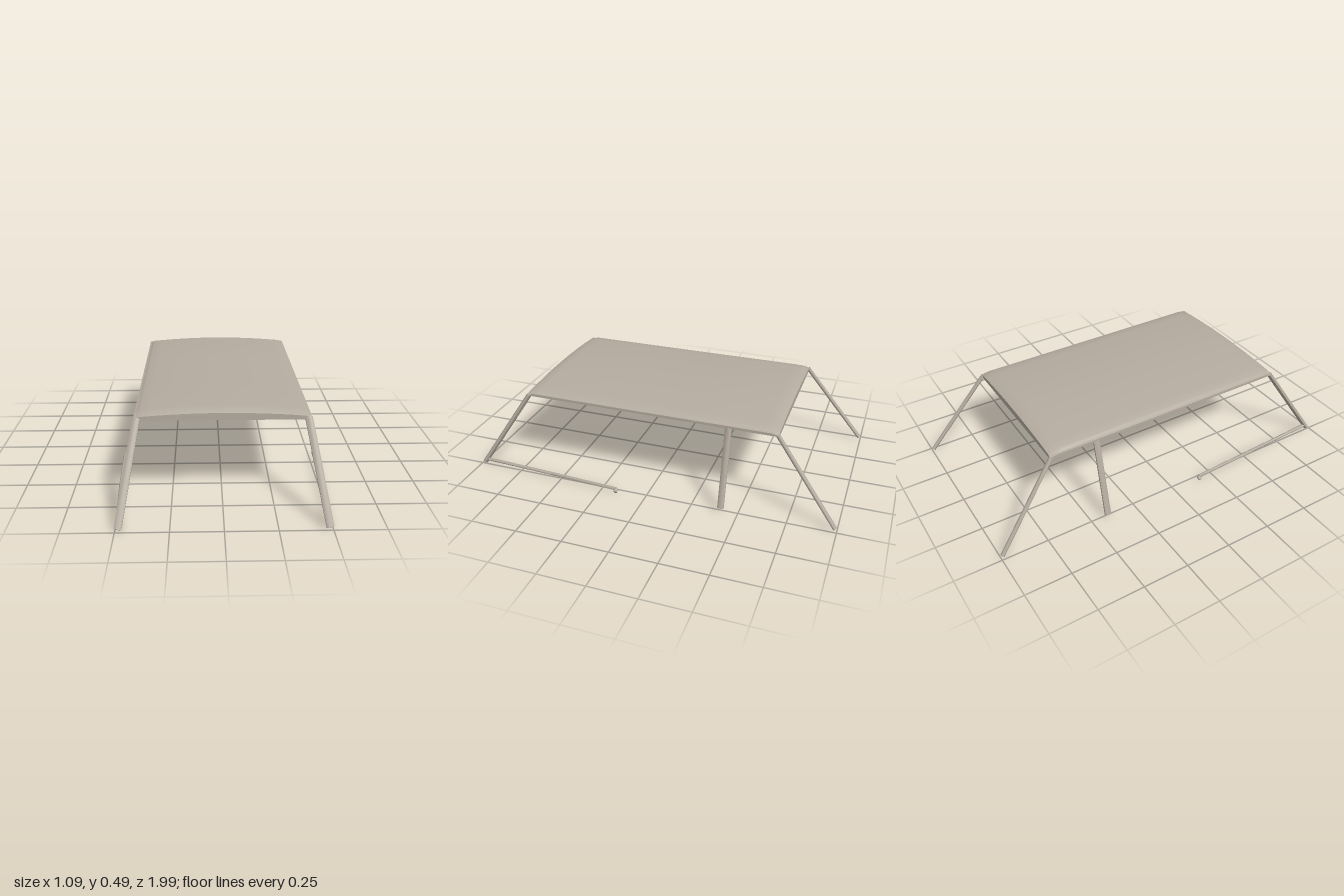
import * as THREE from 'three';
import { toCreasedNormals } from 'three/addons/utils/BufferGeometryUtils.js';

const BOTTOM = 0.436;

// One closed roof cross-section, counter-clockwise seen from the front
function roofSection(z, crown, edge) {
  const lip = Math.min(0.459, edge - 0.006);
  const side = [[0.405, BOTTOM], [0.421, 0.443], [0.421, lip - 0.002], [0.411, lip], [0.402, edge - 0.003]];
  const pts = side.map(([x, y]) => [x, y, z]);
  const n = 16;
  for (let i = 0; i <= n; i++) {
    const t = 1 - (2 * i) / n;
    pts.push([0.395 * t, crown - (crown - edge) * t * t, z]);
  }
  for (const [x, y] of [...side].reverse()) pts.push([-x, y, z]);
  return pts;
}

// Crowned panel lofted front to back, with rounded-down ends and side gutters
function roofGeometry() {
  const stations = [
    [0.710, 0.472, 0.455], [0.695, 0.479, 0.460], [0.670, 0.485, 0.465], [0.640, 0.487, 0.467],
    [0.300, 0.488, 0.468], [-0.200, 0.490, 0.469], [-0.590, 0.491, 0.470],
    [-0.625, 0.487, 0.467], [-0.650, 0.480, 0.461], [-0.667, 0.472, 0.455],
  ];
  const rings = stations.map((s) => roofSection(...s));
  const pos = [];
  const tri = (...corners) => corners.forEach((c) => pos.push(...c));
  const n = rings[0].length;
  const front = rings[0], back = rings[rings.length - 1];
  for (let i = 0; i < n; i++) {
    const j = (i + 1) % n;
    for (let r = 0; r < rings.length - 1; r++) {
      const a = rings[r], b = rings[r + 1];
      tri(a[i], b[i], b[j]);
      tri(a[i], b[j], a[j]);
    }
    if (j !== 0) {
      tri([0, BOTTOM, front[0][2]], front[i], front[j]);
      tri([0, BOTTOM, back[0][2]], back[j], back[i]);
    }
  }
  const g = new THREE.BufferGeometry();
  g.setAttribute('position', new THREE.Float32BufferAttribute(pos, 3));
  return toCreasedNormals(g, 0.5);
}

// Eight-sided bar between two points: width across x, depth across the other way
function bar(name, a, b, width, depth, material) {
  const from = new THREE.Vector3(...a), to = new THREE.Vector3(...b);
  const dir = to.clone().sub(from);
  const length = dir.length();
  dir.normalize();
  const ref = Math.abs(dir.x) > 0.9 ? new THREE.Vector3(0, 0, 1) : new THREE.Vector3(1, 0, 0);
  const across = ref.addScaledVector(dir, -ref.dot(dir)).normalize();
  const deep = new THREE.Vector3().crossVectors(across, dir);
  const g = new THREE.CylinderGeometry(0.54, 0.54, 1, 8);
  g.rotateY(Math.PI / 8);
  g.scale(width, length, depth);
  g.applyMatrix4(new THREE.Matrix4().makeBasis(across, dir, deep));
  const mid = from.add(to).multiplyScalar(0.5);
  g.translate(mid.x, mid.y, mid.z);
  const mesh = new THREE.Mesh(toCreasedNormals(g, 0.9), material);
  mesh.name = name;
  return mesh;
}

export function createModel() {
  const group = new THREE.Group();
  group.name = 'roofFrame';
  const paint = new THREE.MeshStandardMaterial({ color: 0xb5aca0 });
  paint.name = 'warmGreyPaint';

  const roof = new THREE.Mesh(roofGeometry(), paint);
  roof.name = 'roofPanel';
  group.add(roof);

  // name, start, end, width, depth on the +x side
  const bars = [
    ['FrontPillar', [0.409, 0.446, 0.703], [0.487, 0.012, 0.986], 0.036, 0.024],
    ['MiddlePillar', [0.412, 0.446, -0.411], [0.515, 0.028, -0.411], 0.022, 0.033],
    ['RearPillar', [0.413, 0.447, -0.662], [0.482, 0.014, -0.990], 0.024, 0.020],
    ['SillRail', [0.490, 0.031, 0.965], [0.512, 0.032, 0.55], 0.018, 0.016],
    ['SillRailRear', [0.512, 0.032, 0.55], [0.526, 0.026, 0.165], 0.018, 0.016],
    ['SillHook', [0.522, 0.025, 0.163], [0.541, 0.014, 0.163], 0.018, 0.018],
  ];
  for (const [prefix, s] of [['left', 1], ['right', -1]]) {
    for (const [name, a, b, w, d] of bars) {
      group.add(bar(prefix + name, [a[0] * s, a[1], a[2]], [b[0] * s, b[1], b[2]], w, d, paint));
    }
  }
  return group;
}
